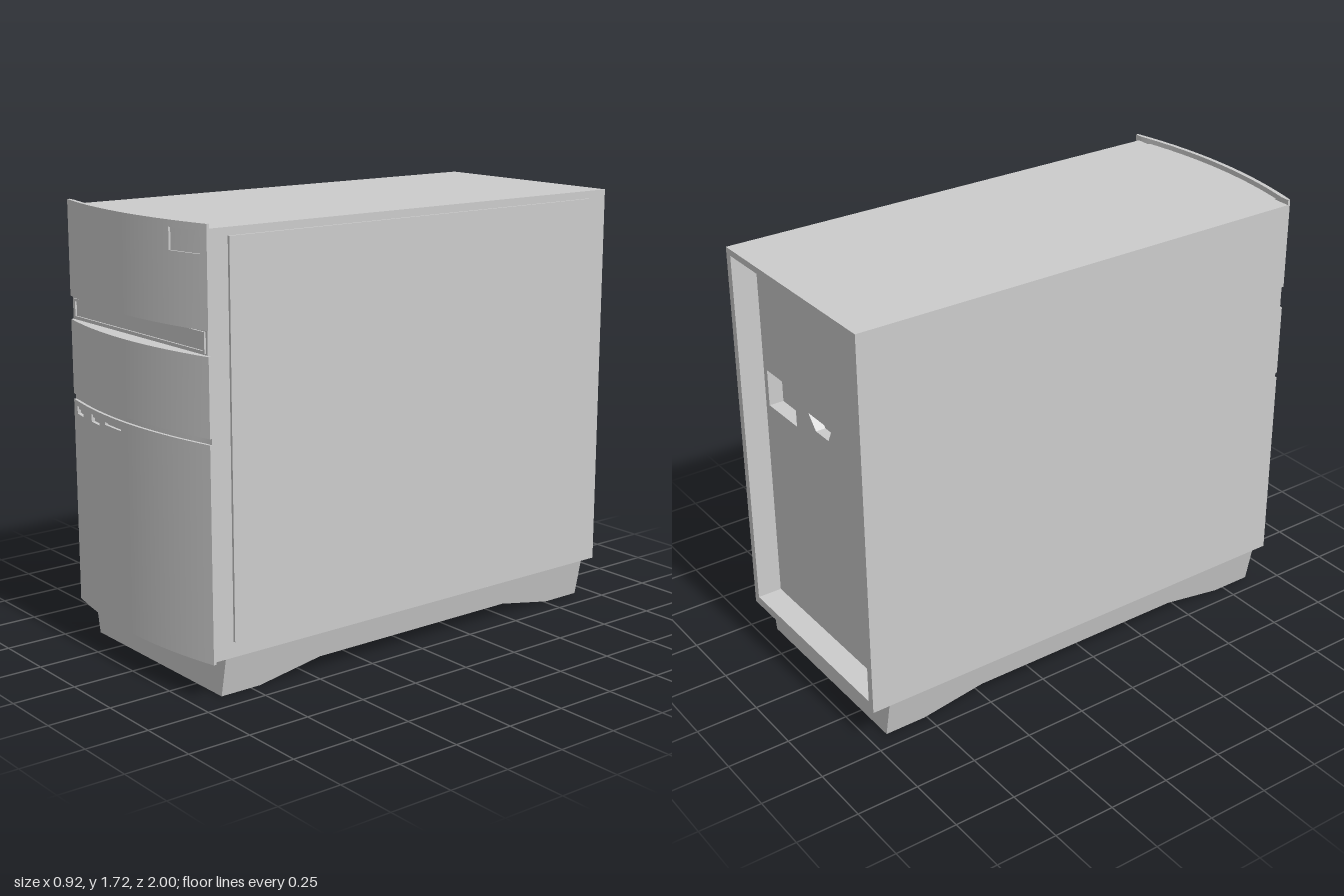
import * as THREE from 'three';
import { toCreasedNormals } from 'three/addons/utils/BufferGeometryUtils.js';

const mat = new THREE.MeshStandardMaterial({ color: 0xcccccc });
const BODY_FRONT = 0.935, HALF = 0.46;
const bow = x => 1 - 0.055 * (x / HALF) ** 2; // bowed front curve

function add(parent, name, geo, x = 0, y = 0, z = 0) {
  const m = new THREE.Mesh(geo, mat);
  m.name = name;
  m.position.set(x, y, z);
  parent.add(m);
  return m;
}

// box given by its limits
function block(parent, name, x0, x1, y0, y1, z0, z1) {
  return add(parent, name, new THREE.BoxGeometry(x1 - x0, y1 - y0, z1 - z0),
    (x0 + x1) / 2, (y0 + y1) / 2, (z0 + z1) / 2);
}

const rect = (x0, x1, y0, y1) => [[x0, y0], [x1, y0], [x1, y1], [x0, y1]];
const toPoints = list => list.map(p => new THREE.Vector2(p[0], p[1]));

// plate with holes, from z0 to z1
function plate(parent, name, outline, holes, z0, z1) {
  const s = new THREE.Shape(toPoints(outline));
  holes.forEach(h => s.holes.push(new THREE.Path(toPoints(h))));
  return add(parent, name, new THREE.ExtrudeGeometry(s, { depth: z1 - z0, bevelEnabled: false }), 0, 0, z0);
}

// bowed panel with sunken rectangles: pockets = [x0, x1, y0, y1, depth]
function bowedPanel(y0, y1, pockets, back) {
  const unique = a => [...new Set(a.map(v => +v.toFixed(4)))].sort((p, q) => p - q);
  const xs = [], ys = [y0, y1];
  for (let i = 0; i <= 24; i++) xs.push(-HALF + (2 * HALF * i) / 24);
  pockets.forEach(p => { xs.push(p[0], p[1]); ys.push(p[2], p[3]); });
  const X = unique(xs), Y = unique(ys), pos = [];
  const quad = (a, b, c, d) => pos.push(...a, ...b, ...c, ...a, ...c, ...d);
  // surface height of cell (i, j) at position x
  const height = (i, j, x) => {
    if (i < 0 || j < 0 || i >= X.length - 1 || j >= Y.length - 1) return back(x);
    const cx = (X[i] + X[i + 1]) / 2, cy = (Y[j] + Y[j + 1]) / 2;
    const hit = pockets.find(p => cx > p[0] && cx < p[1] && cy > p[2] && cy < p[3]);
    return Math.max(back(x) + 0.002, bow(x) - (hit ? hit[4] : 0));
  };
  for (let i = 0; i < X.length; i++) {
    for (let j = 0; j < Y.length; j++) {
      const a = X[i], b = X[i + 1], c = Y[j], d = Y[j + 1];
      if (b !== undefined && d !== undefined) {
        const za = height(i, j, a), zb = height(i, j, b);
        quad([a, c, za], [b, c, zb], [b, d, zb], [a, d, za]);
        quad([b, c, back(b)], [a, c, back(a)], [a, d, back(a)], [b, d, back(b)]);
      }
      if (d !== undefined) { // upright walls
        const l = height(i - 1, j, a), r = height(i, j, a);
        if (Math.abs(l - r) > 1e-6) quad([a, c, l], [a, c, r], [a, d, r], [a, d, l]);
      }
      if (b !== undefined) { // level walls
        const la = height(i, j - 1, a), lb = height(i, j - 1, b);
        const ua = height(i, j, a), ub = height(i, j, b);
        if (Math.abs(la - ua) + Math.abs(lb - ub) > 1e-6) quad([a, c, la], [b, c, lb], [b, c, ub], [a, c, ua]);
      }
    }
  }
  const g = new THREE.BufferGeometry();
  g.setAttribute('position', new THREE.Float32BufferAttribute(pos, 3));
  return toCreasedNormals(g, 0.4);
}

export function createModel() {
  const model = new THREE.Group();
  model.name = 'computerTower';

  // case: a sleeve open at the back, closed by inset plates
  const inner = rect(-0.43, 0.41, 0.185, 1.675);
  plate(model, 'caseShell', rect(-0.46, 0.44, 0.15, 1.7), [inner], -1, BODY_FRONT);
  const socket = rect(0.175, 0.385, 1.04, 1.19);
  const port = [[-0.06, 1.085], [0.03, 1.085], [0.08, 1.14], [-0.087, 1.14]];
  plate(model, 'backPlate', inner, [socket, port], -0.9, -0.84);
  block(model, 'socketFloor', 0.15, 0.4, 1.02, 1.21, -0.84, -0.82);
  block(model, 'portFloor', -0.11, 0.1, 1.07, 1.16, -0.86, -0.84);
  block(model, 'frontBulkhead', -0.43, 0.41, 0.185, 1.675, 0.9, BODY_FRONT);
  block(model, 'sidePanel', 0.43, 0.45, 0.21, 1.67, -0.905, 0.845);

  // drive slot in the gap between the front panels
  plate(model, 'driveSlotFrame', rect(-0.445, 0.43, 1.27, 1.347),
    [rect(-0.433, 0.42, 1.28, 1.337)], 0.93, 0.942);

  // lower front panel with seam, two buttons and a slit
  const lower = [[-HALF, HALF, 0.955, 0.977, 0.012], [-0.155, -0.035, 0.918, 0.928, 0.012]];
  for (const [a, b] of [[-0.42, -0.355], [-0.272, -0.2]]) {
    lower.push([a, b, 0.905, 0.922, 0.015], [a, b, 0.922, 0.935, 0.006]);
  }
  add(model, 'lowerFrontPanel', bowedPanel(0.15, 1.265, lower, () => BODY_FRONT));

  // upper front panel: thin lip above the case, filled in behind
  const lipBack = x => Math.max(BODY_FRONT, bow(x) - 0.018);
  add(model, 'upperFrontPanel', bowedPanel(1.355, 1.72, [[0.28, 0.43, 1.615, 1.695, 0.008]], lipBack));
  const crescent = [];
  for (let i = 0; i <= 24; i++) {
    const x = -0.38 + (0.76 * i) / 24;
    crescent.push([x, -Math.max(BODY_FRONT + 0.0005, lipBack(x))]);
  }
  crescent.push([0.38, -BODY_FRONT], [-0.38, -BODY_FRONT]);
  const fill = new THREE.ExtrudeGeometry(new THREE.Shape(toPoints(crescent)), { depth: 0.345, bevelEnabled: false });
  fill.rotateX(-Math.PI / 2);
  add(model, 'upperPanelFill', fill, 0, 1.355, 0);

  // base with arched underside and sides tapering to the floor
  const profile = [[0.88, 0.15], [-0.93, 0.15], [-0.93, 0], [-0.76, 0], [-0.5, 0.05], [0.44, 0.05], [0.71, 0], [0.88, 0]];
  const base = new THREE.ExtrudeGeometry(new THREE.Shape(toPoints(profile)), { depth: 0.9, bevelEnabled: false });
  base.rotateY(-Math.PI / 2);
  base.translate(0.45, 0, 0);
  const p = base.attributes.position;
  for (let i = 0; i < p.count; i++) {
    p.setX(i, p.getX(i) * (1 - 0.067 * (1 - p.getY(i) / 0.15)));
  }
  base.computeVertexNormals();
  add(model, 'base', base, -0.01, 0, 0);

  return model;
}
